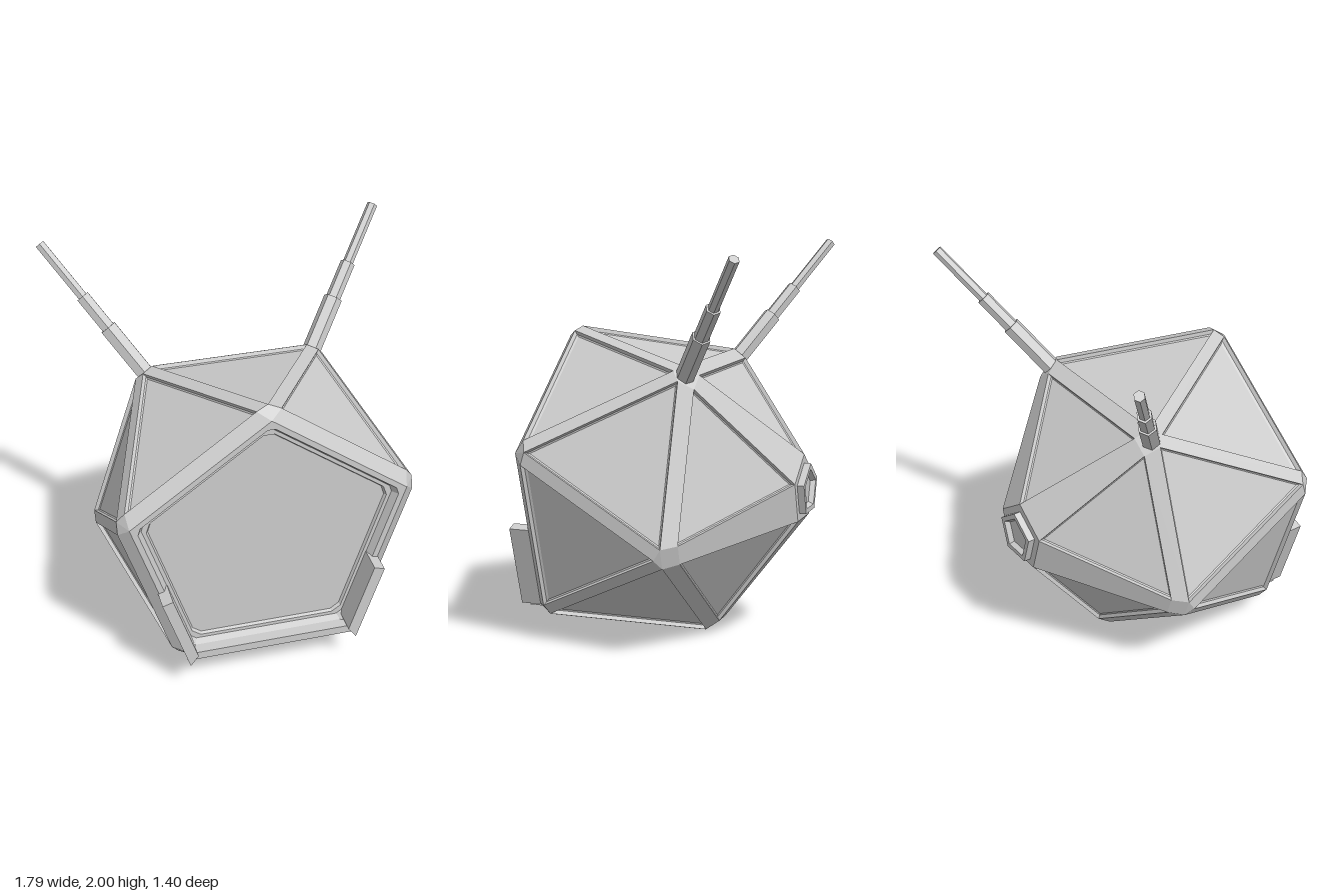
import * as THREE from 'three';

const CY = 0.787;
const grey = new THREE.MeshStandardMaterial({ color: 0xcccccc, flatShading: true, side: THREE.DoubleSide });

// Point on a pentagon: k counts fifths of a turn clockwise from the top.
const pent = (r, k, z) => {
  const a = (k * Math.PI * 2) / 5;
  return new THREE.Vector3(r * Math.sin(a), r * Math.cos(a), z);
};
const lerp = (a, b, t) => a.clone().lerp(b, t);

// Normal of a ring of points from three well spread corners.
function ringNormal(p) {
  const n = p.length, a = p[0], b = p[Math.floor(n / 3)], c = p[Math.floor((2 * n) / 3)];
  return b.clone().sub(a).cross(c.clone().sub(a)).normalize();
}
function facesOut(p) {
  const c = p.reduce((s, v) => s.add(v), new THREE.Vector3());
  return ringNormal(p).dot(c) > 0;
}

// Collects flat polygons into one mesh.
class Faces {
  constructor() { this.pos = []; }
  poly(p) {
    for (let i = 1; i < p.length - 1; i++)
      for (const v of [p[0], p[i], p[i + 1]]) this.pos.push(v.x, v.y, v.z);
  }
  outward(p) { this.poly(facesOut(p) ? p : [...p].reverse()); }
  // Joins rings of equal length and closes the last one.
  loft(rings) {
    if (!facesOut(rings[0])) rings = rings.map((r) => [...r].reverse());
    for (let j = 0; j < rings.length - 1; j++) {
      const a = rings[j], b = rings[j + 1], n = a.length;
      for (let i = 0; i < n; i++) this.poly([a[i], a[(i + 1) % n], b[(i + 1) % n], b[i]]);
    }
    this.poly(rings[rings.length - 1]);
  }
  mesh(name) {
    const g = new THREE.BufferGeometry();
    g.setAttribute('position', new THREE.Float32BufferAttribute(this.pos, 3));
    g.computeVertexNormals();
    const m = new THREE.Mesh(g, grey);
    m.name = name;
    return m;
  }
}

// Moves the sides of a triangle inwards; w[i] belongs to the side i to i+1.
function inset(p, w) {
  return p.map((v, i) => {
    const u = p[(i + 1) % 3].clone().sub(v).normalize();
    const q = p[(i + 2) % 3].clone().sub(v).normalize();
    const s = u.clone().cross(q).length();
    return v.clone().addScaledVector(u, w[(i + 2) % 3] / s).addScaledVector(q, w[i] / s);
  });
}
function sink(p, depth) {
  const n = ringNormal(p).multiplyScalar(facesOut(p) ? -depth : depth);
  return p.map((v) => v.clone().add(n));
}

// Pentagon with clipped corners.
function clipped(r, z, t) {
  const out = [];
  for (let k = 0; k < 5; k++) {
    out.push(lerp(pent(r, k, z), pent(r, k - 1, z), t), lerp(pent(r, k, z), pent(r, k + 1, z), t));
  }
  return out;
}

function bar(name, from, to, t0, t1, rOut, rIn, depth) {
  const at = (r, t) => lerp(pent(r, from, 0), pent(r, to, 0), t);
  const pts = [at(rOut, t0), at(rOut, t1), at(rIn, t1), at(rIn, t0)];
  const shape = new THREE.Shape(pts.map((p) => new THREE.Vector2(p.x, p.y)));
  const m = new THREE.Mesh(new THREE.ExtrudeGeometry(shape, { depth, bevelEnabled: false }), grey);
  m.position.z = 0.56;
  m.name = name;
  return m;
}

// Stepped six-sided rod from the upper shell corner.
function antenna(side) {
  const g = new THREE.Group();
  g.name = side > 0 ? 'leftAntenna' : 'rightAntenna';
  const start = new THREE.Vector3(0.435 * side, 0.60, -0.18);
  const end = new THREE.Vector3(0.872 * side, 1.197, -0.565);
  const dir = end.clone().sub(start).normalize();
  for (const [t0, t1, r] of [[0, 0.36, 0.048], [0.34, 0.6, 0.038], [0.57, 1, 0.027]]) {
    const a = lerp(start, end, t0), b = lerp(start, end, t1);
    const m = new THREE.Mesh(new THREE.CylinderGeometry(r, r, a.distanceTo(b), 6), grey);
    m.position.copy(lerp(a, b, 0.5));
    m.quaternion.setFromUnitVectors(new THREE.Vector3(0, 1, 0), dir);
    m.name = 'antennaSection';
    g.add(m);
  }
  return g;
}

export function createModel() {
  const root = new THREE.Group();
  root.name = 'facetedPod';
  const body = new THREE.Group();
  body.name = 'body';
  body.position.y = CY;
  root.add(body);

  // Sharp corners of the shell: front ring F, rear ring B, rear cap C, front opening G.
  const F = (k) => pent(0.8, k, 0.6), B = (k) => pent(0.795, k + 0.5, -0.2);
  const C = (k) => pent(0.18, k, -0.665), G = (k) => pent(0.735, k, 0.6);
  const w = 0.035;
  const P = (k) => inset([F(k), F(k + 1), B(k)], [0.05, w, w]);
  const Q = (k) => inset([F(k), B(k - 1), B(k)], [w, w, w]);
  const T = (k) => {
    const a = B(k), b = B(k + 1), c = C(k + 1);
    return [lerp(lerp(a, b, 0.06), c, 0.08), lerp(lerp(b, a, 0.06), c, 0.08), c];
  };

  const frame = new Faces(), panels = new Faces();
  for (let k = 0; k < 5; k++) {
    const p = P(k), q = Q(k), qn = Q(k + 1), t = T(k), tp = T(k - 1), pp = P(k - 1);
    // Chamfered ribs along the edges
    frame.outward([G(k), G(k + 1), p[1], p[0]]);
    frame.outward([p[0], p[2], q[2], q[0]]);
    frame.outward([p[1], p[2], qn[1], qn[0]]);
    frame.outward([qn[1], qn[2], t[1], t[0]]);
    frame.outward([tp[1], t[0], C(k + 1), C(k)]);
    // Corner facets
    frame.outward([G(k), p[0], q[0], pp[1]]);
    frame.outward([p[2], q[2], tp[1], t[0], qn[1]]);
    // Sunken triangular panels
    for (const [tri, ws] of [[p, [0.02, 0.012, 0.012]], [q, [0.012, 0.012, 0.012]], [t, [0.01, 0.01, 0.01]]]) {
      panels.loft([tri, sink(inset(tri, ws.map((x) => x * 0.4)), 0.02), sink(inset(tri, ws), 0.025)]);
    }
  }
  body.add(frame.mesh('shellFrame'), panels.mesh('trianglePanels'));

  // Front face: rim, sloped wall, ledge and flat screen
  const front = new Faces();
  front.loft([
    clipped(0.735, 0.6, 0), clipped(0.7, 0.6, 0.03), clipped(0.675, 0.56, 0.03),
    clipped(0.652, 0.56, 0.045), clipped(0.642, 0.545, 0.045),
  ]);
  body.add(front.mesh('frontPanel'));

  // Rear five-sided port
  const ring = (r, z) => [0, 1, 2, 3, 4].map((k) => pent(r, k, z));
  const port = new Faces();
  port.loft([ring(0.18, -0.665), ring(0.135, -0.665), ring(0.135, -0.7), ring(0.105, -0.7), ring(0.09, -0.675)]);
  body.add(port.mesh('rearPort'));

  // Raised guard around the lower half of the front
  body.add(bar('leftGuard', 1, 2, 0.5, 1, 0.742, 0.672, 0.14));
  body.add(bar('rightGuard', 4, 3, 0.5, 1, 0.742, 0.672, 0.14));
  body.add(bar('lowerGuard', 2, 3, 0, 1, 0.748, 0.695, 0.092));

  for (const s of [1, -1]) body.add(antenna(s));
  return root;
}
